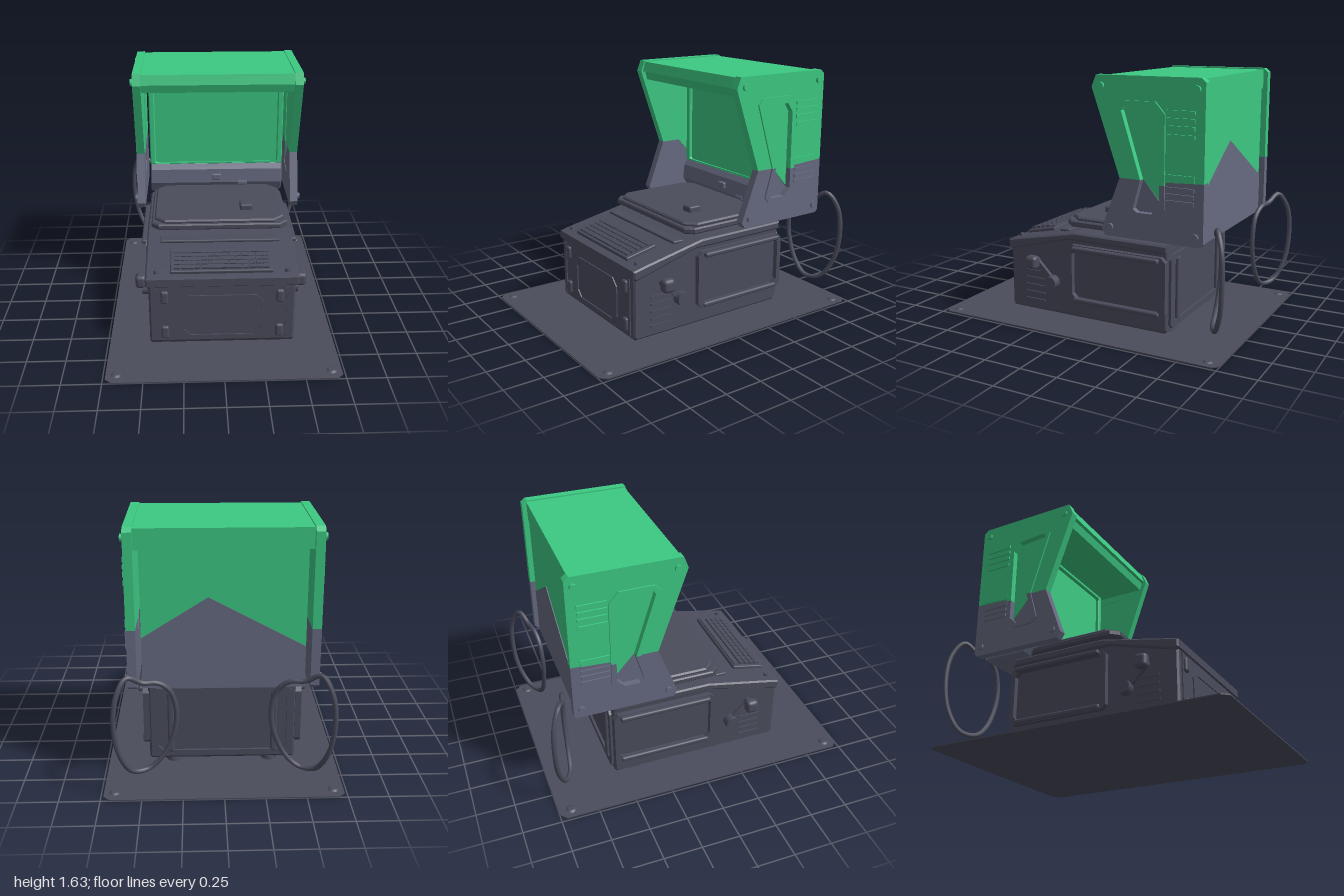
import * as THREE from 'three';
import { RoundedBoxGeometry } from 'three/addons/geometries/RoundedBoxGeometry.js';

const slate = new THREE.MeshStandardMaterial({ color: 0x4a4c5c });
const lightSlate = new THREE.MeshStandardMaterial({ color: 0x666a80 });
const green = new THREE.MeshStandardMaterial({ color: 0x3cc882 });

const shapeOf = (pts) => new THREE.Shape(pts.map(([a, b]) => new THREE.Vector2(a, b)));

function extrude(shape, depth, bevel = 0) {
  return new THREE.ExtrudeGeometry(shape, {
    depth: depth - 2 * bevel, bevelEnabled: bevel > 0, bevelSize: bevel, bevelOffset: -bevel,
    bevelThickness: bevel, bevelSegments: 1, curveSegments: 6,
  }).translate(0, 0, bevel);
}

// Profile given as [z, y], swept along x from x0 to x1; side -1 mirrors the span.
function sweepX(pts, x0, x1, bevel = 0, side = 1) {
  const start = side > 0 ? x0 : -x1;
  return extrude(shapeOf(pts.map(([z, y]) => [-z, y])), x1 - x0, bevel).rotateY(Math.PI / 2).translate(start, 0, 0);
}

// Outline given as [x, z], raised from y0 to y1.
function sweepY(pts, y0, y1, bevel = 0) {
  return extrude(shapeOf(pts.map(([x, z]) => [x, -z])), y1 - y0, bevel).rotateX(-Math.PI / 2).translate(0, y0, 0);
}

// Rectangle with cut corners, as points.
function cutRect(a0, b0, a1, b1, c) {
  return [[a0 + c, b0], [a1 - c, b0], [a1, b0 + c], [a1, b1 - c], [a1 - c, b1], [a0 + c, b1], [a0, b1 - c], [a0, b0 + c]];
}

function frameShape(outer, inner) {
  const s = shapeOf(outer);
  s.holes.push(shapeOf(inner));
  return s;
}

const box = (w, h, d, x, y, z) => new THREE.BoxGeometry(w, h, d).translate(x, y, z);
const roundBox = (w, h, d, r, x, y, z) => new RoundedBoxGeometry(w, h, d, 2, r).translate(x, y, z);
const discX = (r, len, x, y, z) => new THREE.CylinderGeometry(r, r, len, 14).rotateZ(Math.PI / 2).translate(x, y, z);
const discY = (r0, r1, len, x, y, z) => new THREE.CylinderGeometry(r0, r1, len, 16).translate(x, y, z);

export function createModel() {
  const model = new THREE.Group();
  const add = (name, geometry, material = slate, parent = model) => {
    const mesh = new THREE.Mesh(geometry, material);
    mesh.name = name;
    parent.add(mesh);
    return mesh;
  };

  // Ground plate with corner bolts
  add('groundPlate', sweepY(cutRect(-0.735, -1, 0.735, 1, 0.04), 0, 0.007));
  for (const x of [-0.67, 0.67]) for (const z of [-0.92, 0.92]) add('plateBolt', discY(0.02, 0.035, 0.01, x, 0.011, z));

  // Lower cabinet
  add('cabinetBody', sweepX([[0.6, 0.03], [0.61, 0.05], [0.61, 0.46], [0.15, 0.575], [-0.56, 0.575], [-0.56, 0.05], [-0.54, 0.03]], -0.47, 0.47, 0.012));
  add('consoleTop', sweepX([[0.6, 0.435], [0.62, 0.45], [0.62, 0.5], [0.56, 0.515], [0.15, 0.597], [0.1, 0.607], [-0.56, 0.607], [-0.56, 0.555], [0.15, 0.555]], -0.49, 0.49, 0.01));
  for (const x of [-0.31, 0.31]) for (const z of [-0.5, 0.52]) add('foot', discY(0.05, 0.055, 0.03, x, 0.02, z));

  // Cabinet front: cut-corner panel, edge posts and clips
  add('frontPanelFrame', extrude(frameShape(cutRect(-0.27, 0.07, 0.27, 0.38, 0.05), cutRect(-0.25, 0.09, 0.25, 0.36, 0.045)), 0.012).translate(0, 0, 0.606));
  for (const x of [-0.42, 0.42]) add('frontPost', box(0.015, 0.38, 0.012, x, 0.24, 0.611));
  for (const x of [-0.37, 0.37]) for (const y of [0.115, 0.37]) add('frontClip', roundBox(0.05, 0.09, 0.035, 0.015, x, y, 0.612));

  // Cabinet back: raised frame and two posts
  add('backFrame', extrude(frameShape(cutRect(-0.45, 0.06, 0.45, 0.54, 0.03), cutRect(-0.41, 0.1, 0.41, 0.5, 0.03)), 0.02).translate(0, 0, -0.577));
  for (const x of [-0.33, 0.33]) add('backPost', roundBox(0.04, 0.42, 0.03, 0.012, x, 0.3, -0.567));

  // Slot across the console and the corner buttons
  add('consoleSlot', roundBox(0.8, 0.02, 0.08, 0.008, 0, 0.587, 0.225).translate(0, 0.003, 0));
  for (const x of [-0.42, 0.42]) add('consoleButton', discY(0.014, 0.018, 0.02, x, 0.525, 0.555));

  // Keyboard, tilted with the console
  const keyboard = new THREE.Group();
  keyboard.name = 'keyboard';
  keyboard.position.set(0, 0.542, 0.46);
  keyboard.rotation.x = 0.21;
  add('keyboardCase', roundBox(0.66, 0.03, 0.225, 0.008, 0, 0, 0), slate, keyboard);
  add('functionStrip', box(0.62, 0.02, 0.035, 0, 0.014, -0.085), slate, keyboard);
  for (let row = 0; row < 4; row++) {
    for (let i = 0; i < 14; i++) {
      if (row === 3 && i > 3 && i < 10) continue;
      add('key', box(0.038, 0.02, 0.032, -0.287 + i * 0.044, 0.018, -0.04 + row * 0.039), slate, keyboard);
    }
  }
  add('spaceKey', box(0.255, 0.02, 0.032, -0.001, 0.018, 0.077), slate, keyboard);
  model.add(keyboard);

  // Tray between cabinet and hood
  add('trayBase', sweepY(cutRect(-0.46, -0.48, 0.46, 0.19, 0.05), 0.64, 0.68, 0.008));
  add('trayTop', sweepY(cutRect(-0.44, -0.47, 0.44, 0.17, 0.07), 0.675, 0.703, 0.01));
  add('trayPad', roundBox(0.085, 0.05, 0.09, 0.012, 0.19, 0.718, -0.03));

  // Monitor box: screen, chin and bezel between the side panels
  add('monitorBox', box(0.97, 0.64, 0.3, 0, 1.185, -0.65), green);
  add('monitorBase', sweepX([[-0.44, 0.73], [-0.45, 0.83], [-0.48, 0.87], [-0.8, 0.87], [-0.8, 0.65], [-0.49, 0.65]], -0.485, 0.485, 0.008), lightSlate);
  add('screenBezel', extrude(frameShape(cutRect(-0.485, 0.865, 0.485, 1.5, 0.01), cutRect(-0.445, 0.875, 0.445, 1.47, 0.01)), 0.03, 0.006).translate(0, 0, -0.502), green);
  add('chinBlock', roundBox(0.07, 0.045, 0.03, 0.008, 0, 0.775, -0.44), lightSlate);
  add('chinBlock', roundBox(0.075, 0.03, 0.03, 0.008, 0.19, 0.725, -0.45), lightSlate);
  add('backPaint', extrude(shapeOf([[-0.485, 0.655], [0.485, 0.655], [0.485, 0.97], [0.09, 1.22], [-0.485, 0.91]]), 0.006).translate(0, 0, -0.805), lightSlate);

  // Hood roof
  add('hoodRoof', sweepX([[-0.105, 1.56], [-0.125, 1.627], [-0.8, 1.627], [-0.8, 1.5], [-0.14, 1.5], [-0.125, 1.555]], -0.52, 0.52), green);

  // Side panel outlines, split at the paint line around the slot
  const slotTop = [[-0.55, 1.0], [-0.55, 1.38], [-0.51, 1.44], [-0.31, 1.455], [-0.295, 1.43], [-0.425, 1.02]];
  const slotLow = [[-0.425, 1.02], [-0.375, 0.84], [-0.4, 0.82], [-0.5, 0.82], [-0.55, 0.87], [-0.55, 1.0]];
  const rimTop = [[-0.395, 1.02], [-0.262, 1.45], [-0.3, 1.49], [-0.52, 1.49], [-0.583, 1.42], [-0.583, 1.0]];
  const rimLow = [[-0.583, 1.0], [-0.583, 0.85], [-0.52, 0.795], [-0.37, 0.795], [-0.34, 0.83], [-0.395, 1.02]];
  const edgeTop = [[-0.28, 1.02], [-0.09, 1.56], [-0.12, 1.635], [-0.8, 1.635], [-0.83, 1.61], [-0.83, 1.03], [-0.6, 1.02]];
  const edgeLow = [[-0.6, 1.02], [-0.83, 1.03], [-0.83, 0.67], [-0.81, 0.65], [-0.18, 0.65], [-0.155, 0.69], [-0.28, 1.02]];

  for (const s of [1, -1]) {
    // Hood side panel
    add('hoodPanelUpper', sweepX([...edgeTop, ...slotTop], 0.515, 0.57, 0, s), green);
    add('hoodPanelLower', sweepX([...edgeLow, ...slotLow], 0.515, 0.57, 0, s), lightSlate);
    add('slotFloorUpper', sweepX([...slotTop, [-0.55, 0.88]], 0.52, 0.54, 0, s), green);
    add('slotFloorLower', sweepX([[-0.425, 1.02], [-0.375, 0.84], [-0.4, 0.82], [-0.5, 0.82], [-0.55, 0.87]], 0.518, 0.538, 0, s), lightSlate);
    add('slotRimUpper', sweepX([...rimTop, ...slotTop], 0.565, 0.581, 0, s), green);
    add('slotRimLower', sweepX([...rimLow, ...slotLow], 0.565, 0.581, 0, s), lightSlate);

    // Vent slats and raised block on the panel
    for (const y of [1.435, 1.39, 1.345, 1.295]) add('ventSlat', box(0.016, 0.024, 0.18, s * 0.573, y, -0.68), green);
    add('ventFrame', sweepX([[-0.585, 1.07], [-0.77, 1.07], [-0.77, 1.03], [-0.585, 1.02]], 0.565, 0.579, 0, s), green);
    for (const y of [0.985, 0.945, 0.905]) add('ventSlat', box(0.016, 0.024, 0.18, s * 0.573, y, -0.68), lightSlate);

    // Panel bolts
    for (const [z, y] of [[-0.155, 1.57], [-0.78, 1.57], [-0.215, 0.71], [-0.78, 0.71]]) {
      add('panelBolt', discX(0.022, 0.03, s * 0.572, y, z), y > 1 ? green : lightSlate);
    }

    // Cabinet side window frame with rails
    const frame = frameShape(cutRect(-0.14, 0.14, 0.56, 0.53, 0.03), cutRect(-0.11, 0.17, 0.53, 0.5, 0.03));
    add('sideFrame', extrude(frame, 0.04).rotateY(Math.PI / 2).translate(s > 0 ? 0.465 : -0.505, 0, 0));
    add('sideRail', roundBox(0.04, 0.032, 0.62, 0.012, s * 0.515, 0.51, -0.21));
    add('sideRail', roundBox(0.03, 0.032, 0.62, 0.012, s * 0.5, 0.16, -0.21));

    // Side knobs on a joining arm, and slit vents
    add('knobLarge', roundBox(0.07, 0.09, 0.085, 0.025, s * 0.53, 0.38, 0.4));
    add('knobStem', discX(0.025, 0.08, s * 0.49, 0.38, 0.4));
    add('knobSmall', discX(0.045, 0.07, s * 0.495, 0.25, 0.27));
    add('knobArm', new THREE.BoxGeometry(0.03, 0.04, 0.18).rotateX(-0.78).translate(s * 0.48, 0.315, 0.335).rotateX(0));
    for (let i = 0; i < 5; i++) add('sideSlit', box(0.016, 0.013, 0.15, s * 0.472, 0.1 + i * 0.05, 0.415));

    // Hanging cable loop behind
    const loop = [[0.48, 0.72, -0.88], [0.57, 0.77, -0.92], [0.63, 0.67, -0.97], [0.65, 0.48, -0.985], [0.62, 0.28, -0.965], [0.55, 0.15, -0.91],
      [0.46, 0.14, -0.86], [0.37, 0.22, -0.845], [0.3, 0.38, -0.84], [0.285, 0.52, -0.84], [0.32, 0.65, -0.845], [0.39, 0.71, -0.86]];
    const curve = new THREE.CatmullRomCurve3(loop.map(([x, y, z]) => new THREE.Vector3(s * x, y, z)), true);
    add('cable', new THREE.TubeGeometry(curve, 64, 0.016, 8, true));
  }
  return model;
}
